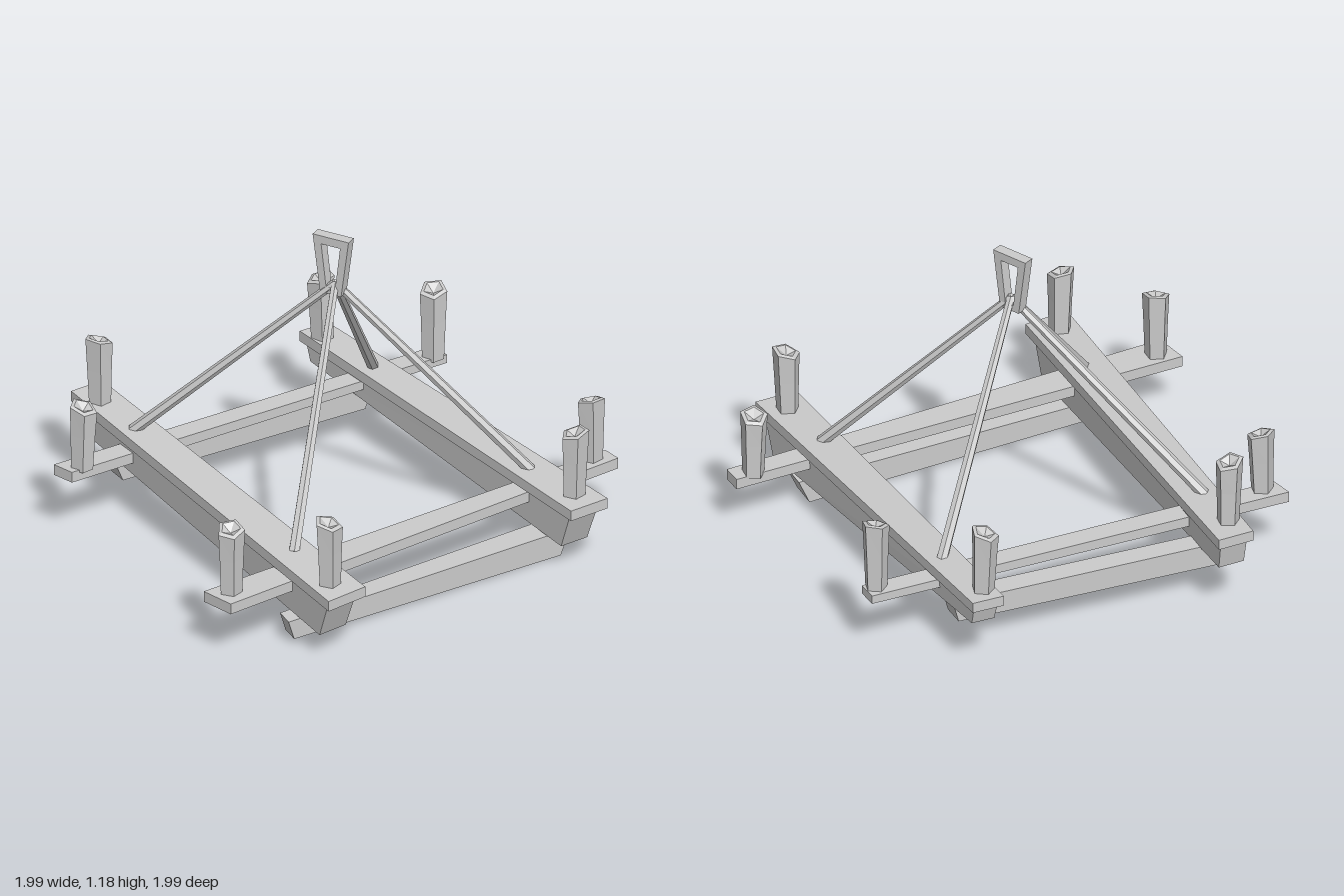
import * as THREE from 'three';

const material = new THREE.MeshStandardMaterial({ color: 0xcccccc, flatShading: true });
const lerp = THREE.MathUtils.lerp;

function addMesh(parent, name, geometry) {
  const mesh = new THREE.Mesh(geometry, material);
  mesh.name = name;
  parent.add(mesh);
  return mesh;
}

// Hewn timber: a box bent onto four plan corners [x, z] (two at the start, two at the end),
// with its own top and bottom height at each end. Insets are fractions of length and width.
function timber({ corners, top, bottom, topTrim = [0, 0], bottomTrim = [0, 0], side = 0, bottomSide = side }) {
  const [s0, s1, e0, e1] = corners;
  const geometry = new THREE.BoxGeometry(1, 1, 1);
  const p = geometry.attributes.position;
  for (let i = 0; i < p.count; i++) {
    const end = p.getX(i) > 0, up = p.getY(i) > 0;
    const trim = up ? topTrim : bottomTrim;
    const inset = up ? side : bottomSide;
    const u = end ? 1 - trim[1] : trim[0];
    const v = p.getZ(i) > 0 ? 1 - inset : inset;
    const x = lerp(lerp(s0[0], s1[0], v), lerp(e0[0], e1[0], v), u);
    const z = lerp(lerp(s0[1], s1[1], v), lerp(e0[1], e1[1], v), u);
    const ys = up ? top : bottom;
    p.setXYZ(i, x, ys[end ? 1 : 0], z);
  }
  geometry.computeVertexNormals();
  return geometry;
}

// Round bar between two points
function bar(from, to, rFrom, rTo) {
  const a = new THREE.Vector3(...from), b = new THREE.Vector3(...to);
  const dir = b.clone().sub(a);
  const geometry = new THREE.CylinderGeometry(rTo, rFrom, dir.length(), 6);
  geometry.applyQuaternion(new THREE.Quaternion().setFromUnitVectors(
    new THREE.Vector3(0, 1, 0), dir.normalize()));
  return geometry.translate(...a.add(b).multiplyScalar(0.5).toArray());
}

// Candle: flared five-sided wax with a sunken top, and a pointed flame
function candle(x, z, base, top, tip, index) {
  const group = new THREE.Group();
  group.name = 'candle';
  const h = top - base;
  const wax = new THREE.LatheGeometry([
    [0, -0.01], [0.041, -0.01], [0.046, h * 0.55], [0.051, h], [0.036, h + 0.005], [0, h - 0.015],
  ].map(q => new THREE.Vector2(...q)), 5);
  // uneven rim, higher on one side
  const p = wax.attributes.position;
  for (let i = 0; i < p.count; i++) {
    if (p.getY(i) > h * 0.8) p.setY(i, p.getY(i) + p.getX(i) * 0.3);
  }
  wax.computeVertexNormals();
  addMesh(group, 'wax', wax);
  const f = tip - top;
  const flame = new THREE.LatheGeometry([
    [0, -0.02], [0.018, -0.015], [0.028, f * 0.25], [0.02, f * 0.6], [0, f],
  ].map(q => new THREE.Vector2(...q)), 6);
  addMesh(group, 'flame', flame).rotation.y = index;
  group.position.set(x, base, z);
  group.rotation.set(0.02 * Math.sin(index * 2), index * 1.3, 0.025 * Math.cos(index * 3));
  return group;
}

export function createModel() {
  const model = new THREE.Group();
  model.name = 'candleChandelier';

  // Two main beams, each a thin top board on a deeper, narrower body
  const beams = [
    { name: 'leftBeam', corners: [[-0.02, -1.0], [-0.12, -0.935], [0.96, 0.23], [0.83, 0.325]], top: [0.325, 0.28] },
    { name: 'rightBeam', corners: [[-0.82, -0.51], [-0.93, -0.43], [0.10, 0.88], [-0.03, 0.99]], top: [0.36, 0.28] },
  ];
  for (const { name, corners, top } of beams) {
    const group = new THREE.Group();
    group.name = name;
    const under = top.map(y => y - 0.04);
    addMesh(group, 'topBoard', timber({ corners, top, bottom: under }));
    addMesh(group, 'beamBody', timber({
      corners, top: under, bottom: [0.215, 0.095],
      topTrim: [0.012, 0.02], bottomTrim: [0.025, 0.055], side: 0.12, bottomSide: 0.14,
    }));
    model.add(group);
  }

  // Thin cross slats passing through the beams
  addMesh(model, 'backSlat', timber({
    corners: [[-0.994, -0.037], [-0.93, 0.022], [0.353, -0.924], [0.40, -0.862]],
    top: [0.278, 0.268], bottom: [0.237, 0.235],
  }));
  addMesh(model, 'frontSlat', timber({
    corners: [[-0.47, 0.83], [-0.375, 0.925], [0.955, -0.21], [1.0, -0.15]],
    top: [0.236, 0.236], bottom: [0.195, 0.195],
  }));

  // Lower braces under the beams
  addMesh(model, 'backBrace', timber({
    corners: [[-0.82, -0.27], [-0.78, -0.20], [0.08, -0.82], [0.13, -0.75]],
    top: [0.205, 0.2], bottom: [0.115, 0.118], bottomTrim: [0.035, 0.02],
  }));
  addMesh(model, 'frontBrace', timber({
    corners: [[-0.20, 0.73], [-0.17, 0.80], [0.77, 0.02], [0.83, 0.11]],
    top: [0.095, 0.095], bottom: [0.02, 0], bottomTrim: [0.02, 0.035],
  }));

  // Four hanging rods meeting under the hanger
  const feet = [[0.14, 0.3, -0.71], [-0.715, 0.335, -0.185], [0.69, 0.28, 0.015], [-0.15, 0.285, 0.635]];
  for (const foot of feet) addMesh(model, 'hangingRod', bar(foot, [0, 1.0, -0.045], 0.021, 0.015));

  // Hanger: tapered open link
  const outline = (points, Type) => new Type(points.map(q => new THREE.Vector2(...q)));
  const link = outline([[-0.042, 0.96], [0.042, 0.96], [0.072, 1.185], [-0.072, 1.185]], THREE.Shape);
  link.holes.push(outline([[-0.018, 0.985], [-0.038, 1.153], [0.038, 1.153], [0.018, 0.985]], THREE.Path));
  const hanger = addMesh(model, 'hanger',
    new THREE.ExtrudeGeometry(link, { depth: 0.04, bevelEnabled: false }).translate(0, 0, -0.02));
  hanger.position.set(-0.007, 0, -0.05);
  hanger.rotation.y = -0.5;

  // Candles: x, z, base, wax top, flame tip
  const candles = [
    [-0.04, -0.90, 0.32, 0.56, 0.63], [0.35, -0.86, 0.268, 0.53, 0.63],
    [-0.895, -0.03, 0.278, 0.51, 0.63], [-0.83, -0.37, 0.352, 0.60, 0.71],
    [0.905, -0.15, 0.236, 0.47, 0.54], [0.84, 0.20, 0.28, 0.525, 0.595],
    [-0.375, 0.83, 0.236, 0.485, 0.61], [-0.027, 0.86, 0.283, 0.525, 0.60],
  ];
  candles.forEach((c, i) => model.add(candle(...c, i)));

  return model;
}
